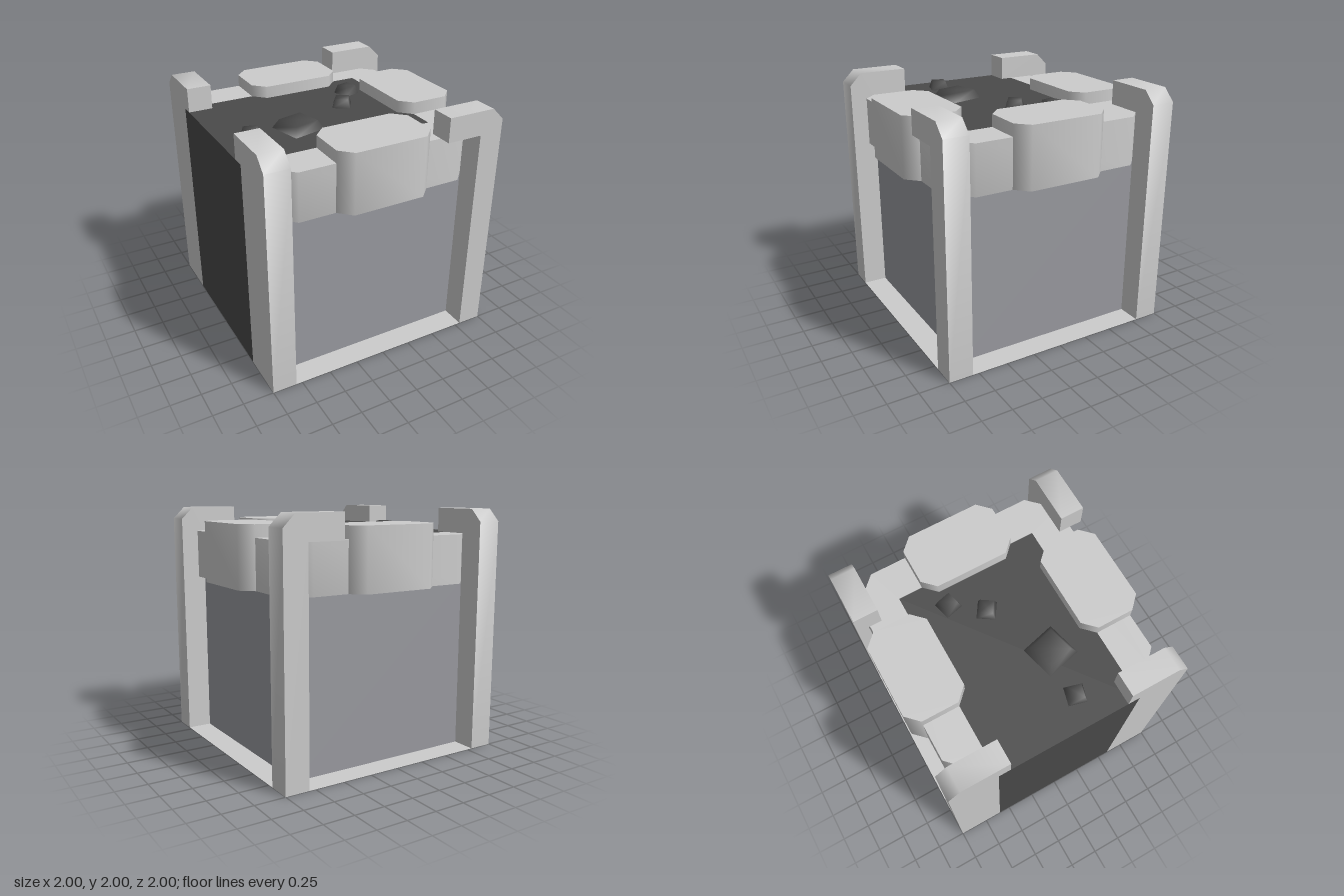
import * as THREE from 'three';
import { toCreasedNormals } from 'three/addons/utils/BufferGeometryUtils.js';

const material = (color) => new THREE.MeshStandardMaterial({ color, side: THREE.DoubleSide });

// Extrude an outline; 45 degree chamfers are shaded smooth, square edges stay sharp
function extrude(points, depth) {
  const shape = new THREE.Shape(points.map(([x, y]) => new THREE.Vector2(x, y)));
  return toCreasedNormals(new THREE.ExtrudeGeometry(shape, { depth, bevelEnabled: false }), 0.9);
}

// Drop the triangles lying on the ground, leaving a hollow foot
function openBottom(geometry) {
  const p = geometry.attributes.position;
  const keep = [];
  for (let i = 0; i < p.count; i += 3) {
    if (p.getY(i) + p.getY(i + 1) + p.getY(i + 2) > 1e-4) keep.push(i, i + 1, i + 2);
  }
  geometry.setIndex(keep);
  return geometry;
}

export function createModel() {
  const model = new THREE.Group();
  const stone = material(0xcccccc);
  const panelStone = material(0x999aa0);
  const dark = material(0x4a4a4a);

  function add(name, geometry, mat, parent = model) {
    const mesh = new THREE.Mesh(geometry, mat);
    mesh.name = name;
    parent.add(mesh);
    return mesh;
  }

  // Corner posts with an arm bent over the top
  const postOutline = [[0.8, 0], [1, 0], [1, 1.9], [0.9, 2], [0.5, 2], [0.5, 1.8], [0.8, 1.8]];
  const postGeometry = openBottom(extrude(postOutline, 0.2));
  add('leftFrontPost', postGeometry, stone).position.z = 0.8;
  add('leftBackPost', postGeometry, stone).position.z = -1;
  const rightFront = add('rightFrontPost', postGeometry, stone);
  rightFront.rotation.y = -Math.PI / 2;
  rightFront.position.x = -0.8;
  const rightBack = add('rightBackPost', postGeometry, stone);
  rightBack.rotation.y = Math.PI / 2;
  rightBack.position.x = -1;

  // Low parapet running round three sides
  const parapet = extrude([
    [-0.8, 0.8], [-0.7, 0.9], [0.7, 0.9], [0.9, 0.7], [0.9, -0.7], [0.7, -0.9], [-0.7, -0.9],
    [-0.8, -0.8], [-0.8, -0.6], [0.6, -0.6], [0.6, 0.6], [-0.8, 0.6],
  ], 0.4);
  parapet.rotateX(-Math.PI / 2);
  add('parapet', parapet, stone).position.y = 1.4;

  // Each closed side: recessed panel, bottom ledge and raised chamfered block
  const blockGeometry = extrude([
    [-0.4, -0.6], [-0.3, -0.5], [0.3, -0.5], [0.4, -0.6],
    [0.4, -0.9], [0.3, -1], [-0.3, -1], [-0.4, -0.9],
  ], 0.5);
  blockGeometry.rotateX(-Math.PI / 2);
  const panelGeometry = new THREE.PlaneGeometry(1.6, 1.4);
  const ledgeGeometry = new THREE.PlaneGeometry(1.6, 0.2).rotateX(-Math.PI / 2);
  [['front', 0], ['left', Math.PI / 2], ['back', Math.PI]].forEach(([side, angle]) => {
    const wall = new THREE.Group();
    wall.name = side + 'Wall';
    wall.rotation.y = angle;
    add(side + 'Panel', panelGeometry, panelStone, wall).position.set(0, 0.7, 0.8);
    add(side + 'Ledge', ledgeGeometry, stone, wall).position.set(0, 0, 0.9);
    add(side + 'Block', blockGeometry, stone, wall).position.y = 1.4;
    model.add(wall);
  });

  // Cut side: dark core with a stone strip beside each post
  const endFace = (width) => new THREE.PlaneGeometry(width, 1.8).rotateY(-Math.PI / 2);
  add('coreEnd', endFace(1.2), dark).position.set(-1, 0.9, 0);
  for (const s of [1, -1]) {
    add('wallEnd', endFace(0.2), stone).position.set(-1, 0.9, s * 0.7);
  }

  // Dark top surface
  const floor = new THREE.PlaneGeometry(1.6, 1.2).rotateX(-Math.PI / 2);
  add('floor', floor, dark).position.set(-0.2, 1.8, 0);

  // Square lumps tapering upwards: x, z, side, turn
  const rocks = [
    [-0.355, 0.21, 0.29, 0.25],
    [-0.745, 0.195, 0.148, -0.26],
    [0.18, -0.05, 0.148, -0.58],
    [0.36, -0.29, 0.148, 0.25],
  ];
  for (const [x, z, side, turn] of rocks) {
    const r = side / Math.SQRT2;
    const geometry = new THREE.CylinderGeometry(r * 0.73, r, 0.07, 4).rotateY(Math.PI / 4);
    const rock = add('rock', toCreasedNormals(geometry, 1.7), dark);
    rock.position.set(x, 1.835, z);
    rock.rotation.y = turn;
  }
  return model;
}
